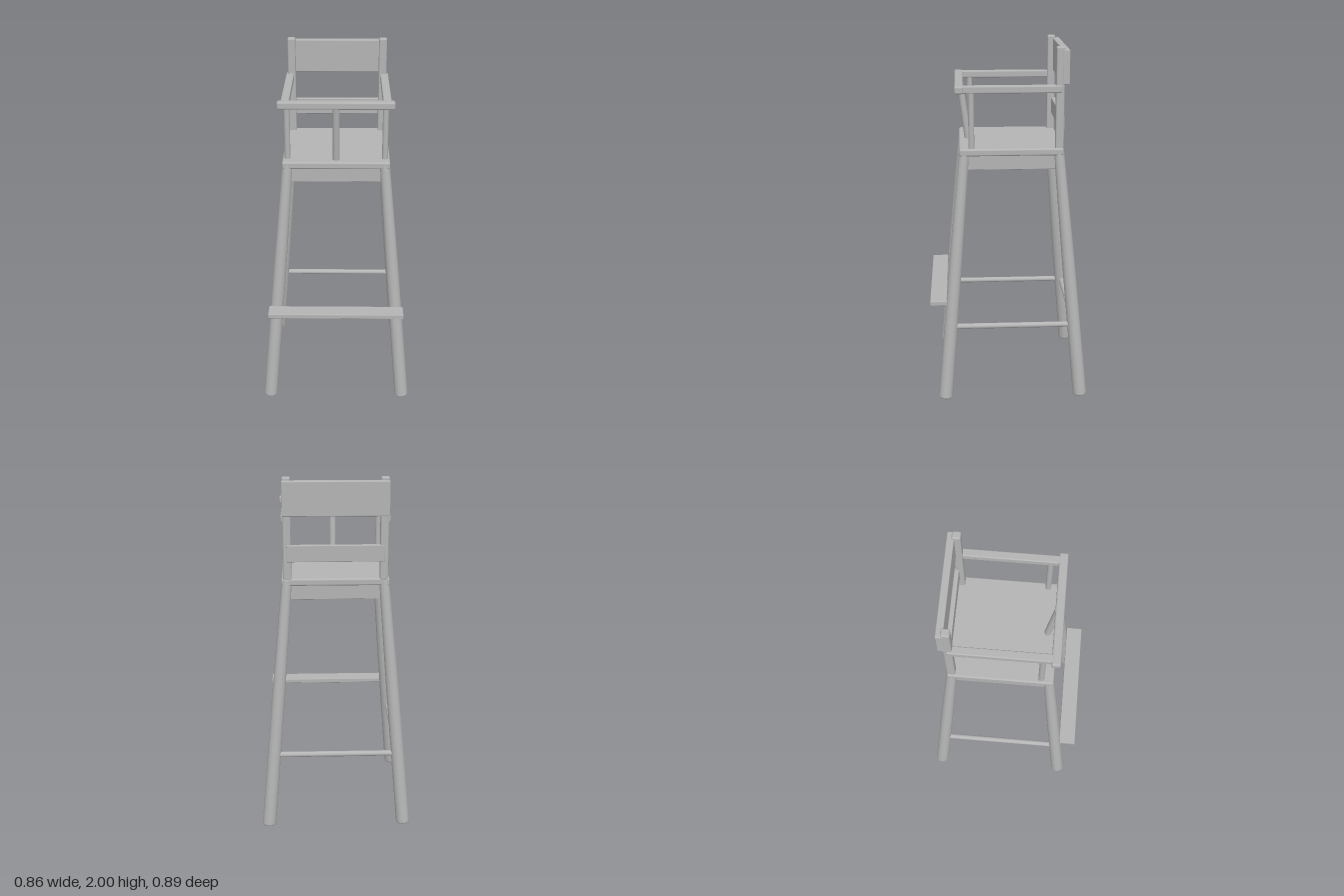
import * as THREE from 'three';
import { RoundedBoxGeometry } from 'three/addons/geometries/RoundedBoxGeometry.js';

export function createModel() {
  const model = new THREE.Group();
  model.name = 'highChair';
  const grey = new THREE.MeshStandardMaterial({ color: 0xb4b4b4 });
  grey.name = 'plainGrey';

  const add = (name, geometry) => {
    const mesh = new THREE.Mesh(geometry, grey);
    mesh.name = name;
    model.add(mesh);
    return mesh;
  };

  // Softly rounded board given by its limits on each axis
  const board = (name, [x0, x1], [y0, y1], [z0, z1], r = 0.006) => {
    const mesh = add(name, new RoundedBoxGeometry(x1 - x0, y1 - y0, z1 - z0, 2, r));
    mesh.position.set((x0 + x1) / 2, (y0 + y1) / 2, (z0 + z1) / 2);
    return mesh;
  };

  // Round rod between two points, with an optional taper
  const up = new THREE.Vector3(0, 1, 0);
  const rod = (name, from, to, r0, r1 = r0) => {
    const a = new THREE.Vector3(...from);
    const b = new THREE.Vector3(...to);
    const mesh = add(name, new THREE.CylinderGeometry(r1, r0, a.distanceTo(b), 24));
    mesh.position.copy(a).add(b).multiplyScalar(0.5);
    mesh.quaternion.setFromUnitVectors(up, b.sub(a).normalize());
    return mesh;
  };

  // Turned leg with rounded foot and head, splayed outwards
  const leg = (name, from, to) => {
    const a = new THREE.Vector3(...from);
    const axis = new THREE.Vector3(...to).sub(a);
    const h = axis.length();
    const profile = [[0, 0], [0.032, 0], [0.037, 0.004], [0.039, 0.012],
      [0.036, h * 0.55], [0.028, h - 0.006], [0.024, h], [0, h]];
    const mesh = add(name, new THREE.LatheGeometry(
      profile.map(([x, y]) => new THREE.Vector2(x, y)), 28));
    mesh.position.copy(a);
    mesh.quaternion.setFromUnitVectors(up, axis.normalize());
  };

  // Seat
  board('seat', [-0.295, 0.295], [1.41, 1.45], [-0.3, 0.273], 0.01);

  // Parts mirrored left and right
  for (const s of [-1, 1]) {
    const side = s > 0 ? 'left' : 'right';
    const span = (a, b) => (s > 0 ? [a, b] : [-b, -a]);
    leg(side + 'FrontLeg', [0.39 * s, 0, 0.372], [0.265 * s, 1.44, 0.245]);
    leg(side + 'BackLeg', [0.39 * s, 0, -0.408], [0.265 * s, 1.44, -0.275]);
    board(side + 'Apron', span(0.25, 0.275), [1.33, 1.415], [-0.27, 0.24], 0.003);
    board(side + 'BackPost', span(0.24, 0.285), [1.44, 2], [-0.3, -0.254], 0.009);
    board(side + 'Armrest', span(0.25, 0.295), [1.755, 1.795], [-0.284, 0.26], 0.007);
    rod(side + 'ArmPost', [0.267 * s, 1.44, 0.205], [0.267 * s, 1.765, 0.205], 0.016);
    rod(side + 'Stretcher', [0.354 * s, 0.43, 0.335], [0.354 * s, 0.43, -0.37], 0.0155);
  }

  // Front and back aprons under the seat
  board('frontApron', [-0.25, 0.25], [1.33, 1.415], [0.23, 0.255], 0.003);
  board('backApron', [-0.25, 0.25], [1.33, 1.415], [-0.285, -0.26], 0.003);

  // Backrest
  board('upperBackrest', [-0.287, 0.287], [1.797, 1.985], [-0.326, -0.287]);
  board('lowerBackrest', [-0.265, 0.265], [1.545, 1.637], [-0.304, -0.279], 0.004);

  // Front guard bar and its leaning post
  board('guardBar', [-0.313, 0.313], [1.755, 1.796], [0.247, 0.294], 0.009);
  rod('guardPost', [0, 1.44, 0.22], [0, 1.765, 0.262], 0.019);

  // Back stretcher and footrest
  rod('backStretcher', [-0.35, 0.43, -0.371], [0.35, 0.43, -0.371], 0.0155);
  board('footrest', [-0.383, 0.383], [0.57, 0.597], [0.354, 0.449], 0.004);

  return model;
}
